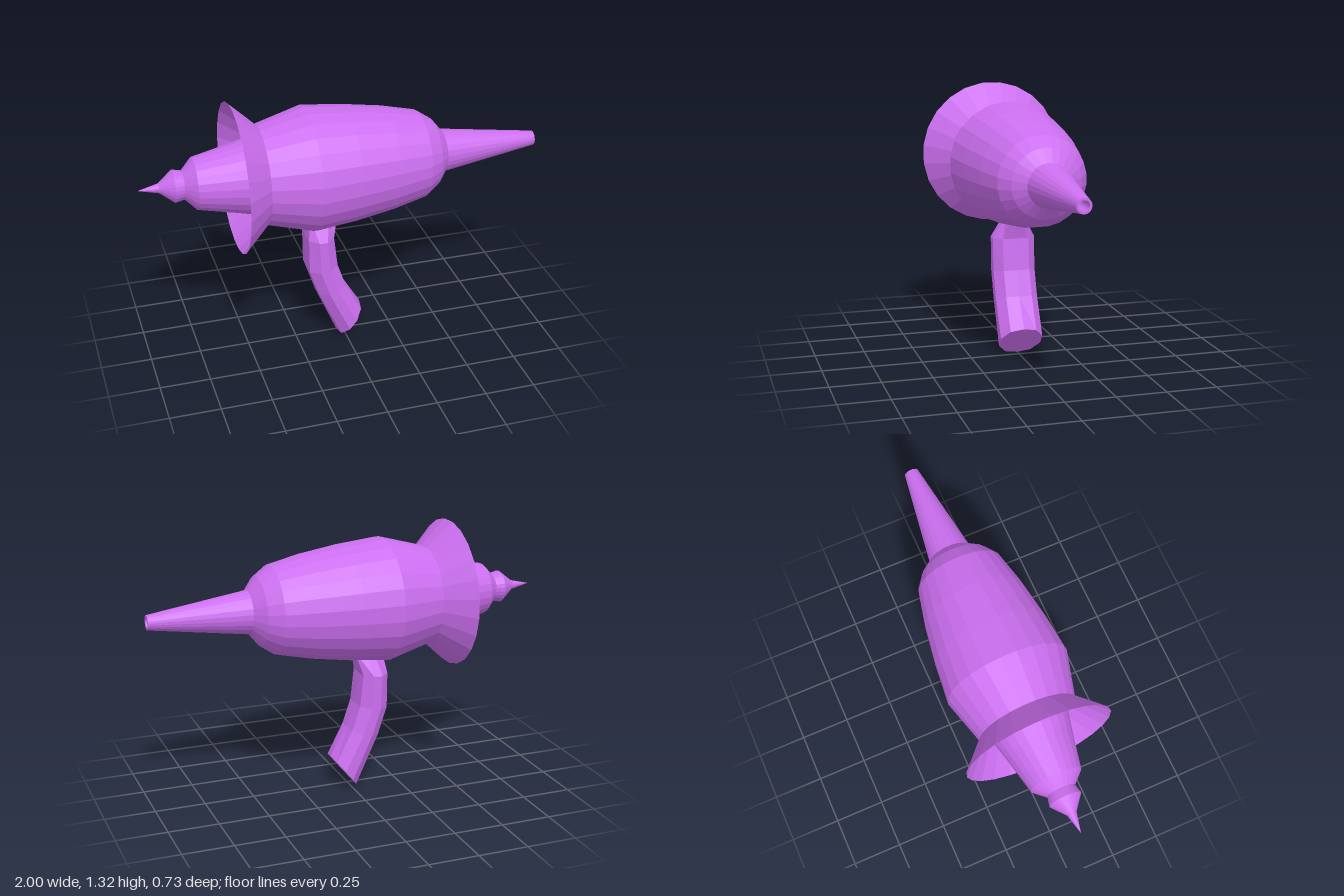
import * as THREE from 'three';

const SEGMENTS = 24;
const AXIS_Y = 0.96;

const material = new THREE.MeshStandardMaterial({
  color: 0xcc6ff0, flatShading: true, side: THREE.DoubleSide,
});

// Turned part along the x axis, from [x, radius] pairs running towards +x
function turned(name, profile) {
  const points = profile.map(([x, r]) => new THREE.Vector2(r, x));
  const geometry = new THREE.LatheGeometry(points, SEGMENTS, Math.PI / SEGMENTS);
  geometry.rotateZ(-Math.PI / 2);
  const mesh = new THREE.Mesh(geometry, material);
  mesh.name = name;
  mesh.position.y = AXIS_Y;
  return mesh;
}

// Grip: ten-sided rings, each given by its back point, front point and half width
function gripGeometry() {
  const rings = [
    { back: [-0.178, 0.70], front: [-0.03, 0.70], width: 0.045, flat: 0.95 },
    { back: [-0.192, 0.59], front: [-0.06, 0.59], width: 0.108, flat: 0.97 },
    { back: [-0.19, 0.41], front: [-0.042, 0.43], width: 0.108, flat: 0.97 },
    { back: [-0.145, 0.27], front: [0.002, 0.305], width: 0.108, flat: 0.95 },
    { back: [-0.033, 0.004], front: [0.09, 0.158], width: 0.108, flat: 0.85 },
  ];
  const sides = 10;
  const positions = [];
  const index = [];
  for (const { back, front, width, flat } of rings) {
    for (let i = 0; i < sides; i++) {
      const a = (i / sides) * Math.PI * 2;
      const c = Math.cos(a);
      // the faces next to the front and back ridges are flattened
      const t = Math.abs(c) > 0.7 && Math.abs(c) < 0.9 ? Math.sign(c) * flat : c;
      positions.push(
        (back[0] + front[0]) / 2 + t * (front[0] - back[0]) / 2,
        (back[1] + front[1]) / 2 + t * (front[1] - back[1]) / 2,
        width * Math.sin(a) / Math.sin(Math.PI * 0.4),
      );
    }
  }
  for (let r = 0; r < rings.length - 1; r++) {
    for (let i = 0; i < sides; i++) {
      const a = r * sides + i;
      const b = r * sides + (i + 1) % sides;
      index.push(a, b, a + sides, b, b + sides, a + sides);
    }
  }
  // end caps
  const last = (rings.length - 1) * sides;
  for (let i = 1; i < sides - 1; i++) {
    index.push(0, i + 1, i, last, last + i, last + i + 1);
  }
  const geometry = new THREE.BufferGeometry();
  geometry.setAttribute('position', new THREE.Float32BufferAttribute(positions, 3));
  geometry.setIndex(index);
  geometry.computeVertexNormals();
  return geometry;
}

export function createModel() {
  const model = new THREE.Group();
  model.name = 'rayBlaster';

  model.add(
    // pointed finial and tapered rear housing
    turned('rearHousing', [
      [-1, 0], [-0.9, 0.024], [-0.83, 0.08], [-0.785, 0.07],
      [-0.73, 0.127], [-0.54, 0.168], [-0.41, 0.2],
    ]),
    // thin flared shield, open to the back
    turned('flaredShield', [[-0.54, 0.368], [-0.41, 0.245]]),
    // bulging main body
    turned('body', [
      [-0.41, 0.2], [-0.41, 0.245], [-0.18, 0.308], [0.02, 0.288],
      [0.22, 0.257], [0.39, 0.218], [0.46, 0.17], [0.51, 0.107],
    ]),
    // tapered barrel with a bored muzzle
    turned('barrel', [
      [0.51, 0.107], [1, 0.036], [1, 0.025], [0.88, 0.025], [0.88, 0],
    ]),
  );

  const grip = new THREE.Mesh(gripGeometry(), material);
  grip.name = 'grip';
  model.add(grip);

  return model;
}
